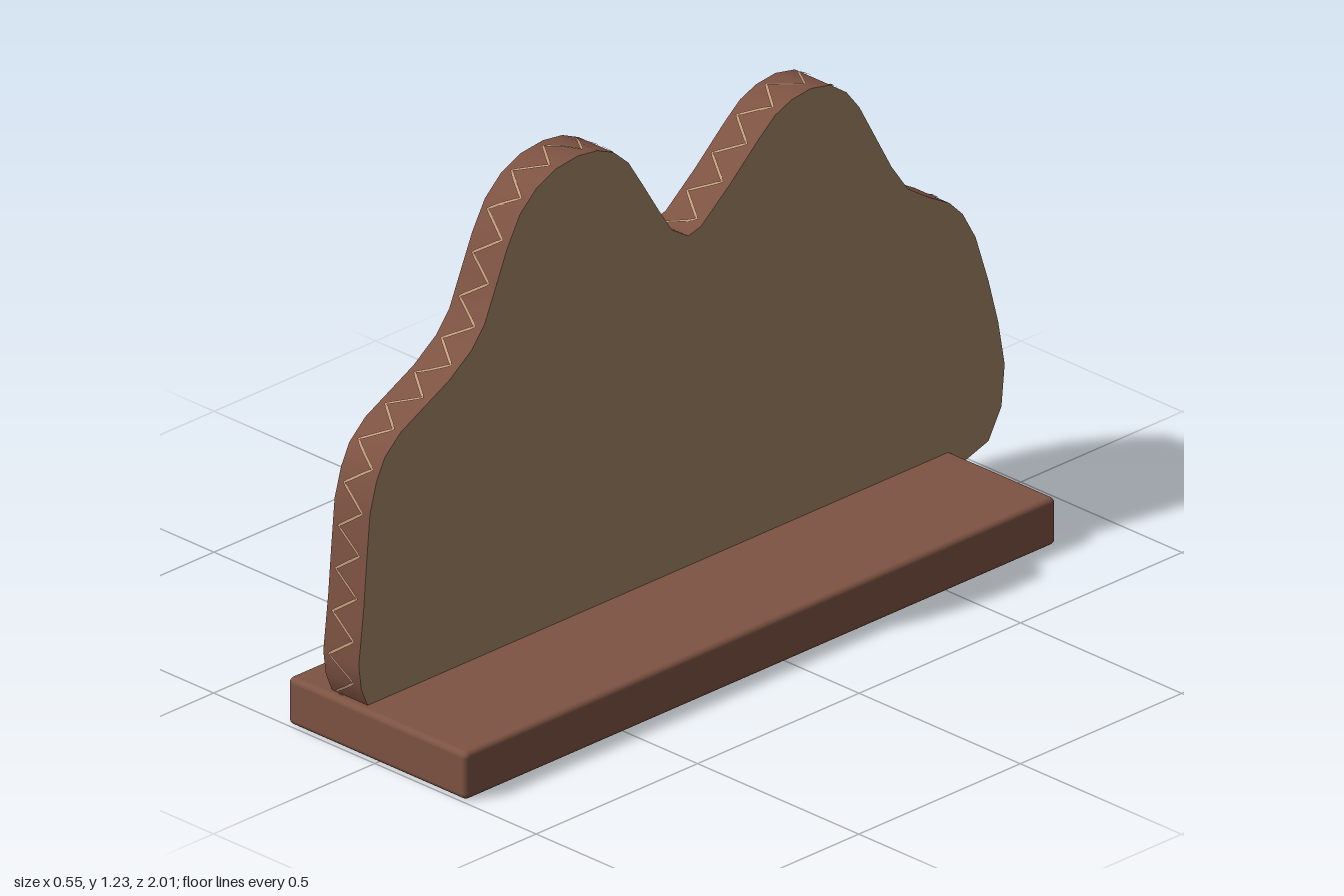
import * as THREE from 'three';
import { toCreasedNormals } from 'three/addons/utils/BufferGeometryUtils.js';
import { RoundedBoxGeometry } from 'three/addons/geometries/RoundedBoxGeometry.js';

const material = (name, color, side = THREE.FrontSide) => {
  const m = new THREE.MeshStandardMaterial({ color, side });
  m.name = name;
  return m;
};

// Hill outline as [z, y], from the front foot over both humps to the back foot
const OUTLINE = [
  [0.95, 0.08], [0.975, 0.12], [0.992, 0.16], [1, 0.22], [0.985, 0.35], [0.975, 0.47], [0.965, 0.58],
  [0.945, 0.65], [0.92, 0.7], [0.87, 0.745], [0.8, 0.78], [0.72, 0.82], [0.65, 0.87], [0.61, 0.92],
  [0.575, 1], [0.54, 1.08], [0.5, 1.15], [0.45, 1.195], [0.39, 1.222], [0.32, 1.23], [0.26, 1.222],
  [0.21, 1.2], [0.165, 1.16], [0.12, 1.09], [0.07, 1.01], [0.03, 0.95], [-0.02, 0.918], [-0.06, 0.928],
  [-0.15, 1], [-0.24, 1.08], [-0.29, 1.12], [-0.34, 1.14], [-0.4, 1.147], [-0.46, 1.135], [-0.51, 1.1],
  [-0.55, 1.05], [-0.6, 0.96], [-0.65, 0.87], [-0.7, 0.8], [-0.76, 0.76], [-0.83, 0.72], [-0.87, 0.68],
  [-0.91, 0.61], [-0.95, 0.49], [-0.98, 0.38], [-1, 0.27], [-0.99, 0.17], [-0.95, 0.1], [-0.84, 0.065],
].map(([z, y]) => new THREE.Vector2(z, y));

const PANEL_RIGHT = -0.16, PANEL_LEFT = -0.05;

// Slab in the hill shape: tan on the left face, green on the right, brown rim
function panelGeometry() {
  let g = new THREE.ExtrudeGeometry(new THREE.Shape(OUTLINE), {
    depth: PANEL_LEFT - PANEL_RIGHT, bevelEnabled: false,
  });
  g.rotateY(-Math.PI / 2).translate(PANEL_LEFT, 0, 0);
  g = toCreasedNormals(g, 0.6);
  const half = g.groups[0].count / 2;
  const total = g.attributes.position.count;
  g.clearGroups();
  g.addGroup(0, half, 0);
  g.addGroup(half, half, 1);
  g.addGroup(half * 2, total - half * 2, 2);
  return g;
}

// Thin zigzag ribbon that follows the rim of the panel
function zigzagGeometry() {
  const path = new THREE.Path().setFromPoints(OUTLINE);
  const turns = Math.round(path.getLength() / 0.1);
  const count = turns * 16;
  const points = path.getSpacedPoints(count);
  const middle = (PANEL_LEFT + PANEL_RIGHT) / 2;
  const normals = points.map((p, i) => {
    const t = points[Math.min(i + 1, count)].clone().sub(points[Math.max(i - 1, 0)]).normalize();
    return new THREE.Vector3(0, -t.x, t.y);
  });
  const centres = points.map((p, i) => {
    const phase = (i % 16) / 16;
    const wave = 4 * Math.abs(phase - 0.5) - 1;
    return new THREE.Vector3(middle + wave * 0.035, p.y, p.x).addScaledVector(normals[i], 0.003);
  });
  const positions = [], index = [];
  centres.forEach((c, i) => {
    const along = centres[Math.min(i + 1, count)].clone().sub(centres[Math.max(i - 1, 0)]);
    const across = normals[i].clone().cross(along).normalize().multiplyScalar(0.0035);
    positions.push(...c.clone().add(across).toArray(), ...c.clone().sub(across).toArray());
    const a = i * 2;
    if (i < count) index.push(a, a + 1, a + 2, a + 1, a + 3, a + 2);
  });
  const g = new THREE.BufferGeometry();
  g.setAttribute('position', new THREE.Float32BufferAttribute(positions, 3));
  g.setIndex(index);
  g.computeVertexNormals();
  return g;
}

export function createModel() {
  const model = new THREE.Group();
  const brown = material('brown wood', 0x7e5343);
  const tan = material('tan', 0xa18464);
  const green = material('green', 0x56704f);
  const thread = material('pale line', 0xc49a7a, THREE.DoubleSide);

  const add = (parent, name, geometry, mat) => {
    const mesh = new THREE.Mesh(geometry, mat);
    mesh.name = name;
    parent.add(mesh);
    return mesh;
  };

  // Base plank
  const base = add(model, 'base', new RoundedBoxGeometry(0.554, 0.115, 1.83, 3, 0.014), brown);
  base.position.set(0, 0.0575, 0.08);

  // Upright panel and its rim decoration
  add(model, 'panel', panelGeometry(), [tan, green, brown]);
  add(model, 'rimZigzag', zigzagGeometry(), thread);

  // Round studs with a slanted bar, on the green face: [z, y]
  const disc = new THREE.CylinderGeometry(0.085, 0.085, 0.014, 32).rotateZ(Math.PI / 2);
  const bar = new THREE.BoxGeometry(0.009, 0.02, 0.15);
  for (const [z, y] of [[-0.675, 0.445], [-0.485, 0.79], [-0.15, 0.67], [0.28, 0.857], [0.62, 0.573]]) {
    const stud = new THREE.Group();
    stud.name = 'stud';
    stud.position.set(PANEL_RIGHT, y, z);
    add(stud, 'studDisc', disc, [tan, green, green]).position.x = -0.006;
    const slat = add(stud, 'studBar', bar, green);
    slat.position.x = -0.0165;
    slat.rotation.x = 0.56;
    model.add(stud);
  }
  return model;
}
